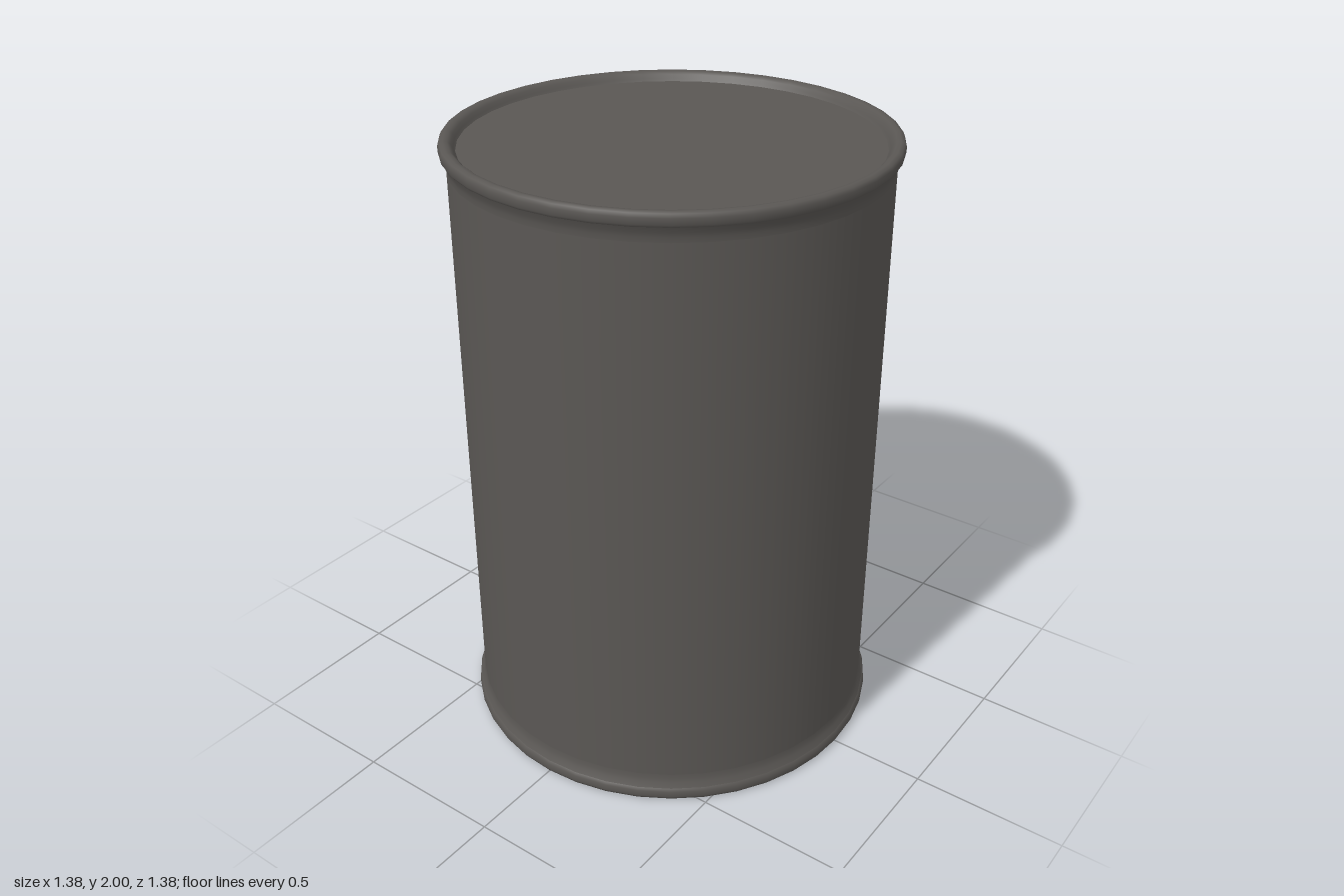
import * as THREE from 'three';

const SIDES = 40;

export function createModel() {
  const model = new THREE.Group();
  model.name = 'drum';
  const darkSteel = new THREE.MeshStandardMaterial({ color: 0x5a5754 });
  darkSteel.name = 'darkSteel';

  // Profiles run upward along the outside, then inward to the axis
  const addLathe = (name, points, parent) => {
    const geometry = new THREE.LatheGeometry(points.map(([r, y]) => new THREE.Vector2(r, y)), SIDES);
    const mesh = new THREE.Mesh(geometry, darkSteel);
    mesh.name = name;
    parent.add(mesh);
  };

  // Straight wall
  addLathe('wall', [[0.67, 0.09], [0.67, 1.91]], model);

  // Flared neck, rolled rim and recessed lid, mirrored for the bottom
  const neck = [[0.67, 1.91], [0.671, 1.925], [0.675, 1.94], [0.683, 1.957]];
  const rim = [[0.683, 1.957], [0.69, 1.966], [0.691, 1.985], [0.686, 1.996],
    [0.675, 2], [0.662, 1.998], [0.652, 1.99], [0.646, 1.978], [0.64, 1.97]];
  const lid = [[0.64, 1.97], [0, 1.97]];
  const flip = (points) => points.map(([r, y]) => [r, 2 - y]).reverse();

  for (const top of [true, false]) {
    const end = new THREE.Group();
    end.name = top ? 'topEnd' : 'bottomEnd';
    for (const [name, profile] of [['neck', neck], ['rim', rim], ['lid', lid]]) {
      addLathe(name, top ? profile : flip(profile), end);
    }
    model.add(end);
  }
  return model;
}
